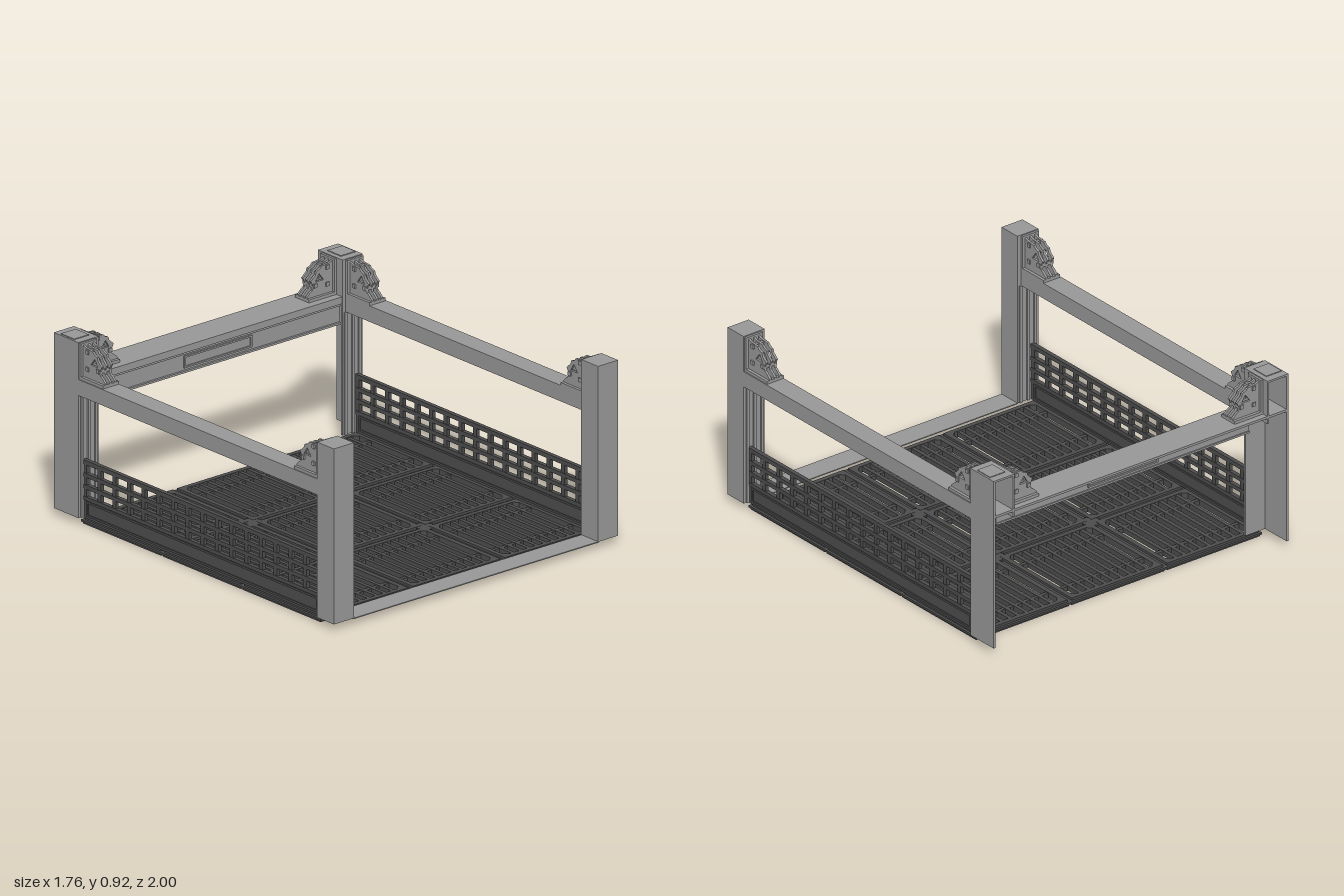
import * as THREE from 'three';

export function createModel() {
  const model = new THREE.Group();
  const grey = new THREE.MeshStandardMaterial({ name: 'frameGrey', color: 0x979797 });
  const dark = new THREE.MeshStandardMaterial({ name: 'gridDarkGrey', color: 0x4c4c4c });

  const group = (name, parent = model) => {
    const g = new THREE.Group();
    g.name = name;
    parent.add(g);
    return g;
  };
  // Box given by its lower and upper limits on each axis
  const box = (parent, name, mat, x0, x1, y0, y1, z0, z1) => {
    const m = new THREE.Mesh(new THREE.BoxGeometry(Math.abs(x1 - x0), y1 - y0, z1 - z0), mat);
    m.name = name;
    m.position.set((x0 + x1) / 2, (y0 + y1) / 2, (z0 + z1) / 2);
    parent.add(m);
    return m;
  };
  const points = list => list.map(([x, y]) => new THREE.Vector2(x, y));

  // Floor: nine slatted tiles
  const T = 0.57, O = 0.247, C = 0.225;
  const rimShape = half => {
    const s = new THREE.Shape(points([[-half, -half], [half, -half], [half, half], [-half, half]]));
    s.holes.push(new THREE.Path(points([
      [-C, -O], [-O, -C], [-O, C], [-C, O], [C, O], [O, C], [O, -C], [C, -O]])));
    return s;
  };
  const rimGeometry = (half, depth) =>
    new THREE.ExtrudeGeometry(rimShape(half), { depth, bevelEnabled: false }).rotateX(-Math.PI / 2);
  const rims = [
    [rimGeometry(0.278, 0.01), 0],
    [rimGeometry(0.285, 0.01), 0.01],
    [rimGeometry(0.272, 0.012), 0.02],
  ];
  for (let i = -1; i <= 1; i++) {
    for (let j = -1; j <= 1; j++) {
      const tile = group('floorTile');
      tile.position.set(i * T, 0, 0.02 + j * T);
      for (const [geo, y] of rims) {
        const m = new THREE.Mesh(geo, dark);
        m.name = 'tileRim';
        m.position.y = y;
        tile.add(m);
      }
      for (let k = 1; k < 10; k++) {
        const x = -O + k * 2 * O / 10;
        box(tile, 'tileSlat', dark, x - 0.01, x + 0.01, 0.006, 0.03, -O, O);
      }
      for (const z of [-0.15, 0.15])
        box(tile, 'tileCrossbar', dark, -O, O, 0.004, 0.028, z - 0.01, z + 0.01);
    }
  }
  // Diamond connectors where four tiles meet
  for (const x of [-T / 2, T / 2]) {
    for (const z of [0.02 - T / 2, 0.02 + T / 2]) {
      const m = new THREE.Mesh(new THREE.CylinderGeometry(0.05, 0.05, 0.03, 4), dark);
      m.name = 'tileConnector';
      m.position.set(x, 0.016, z);
      model.add(m);
    }
  }

  // Thin sill between the front posts
  box(model, 'frontSill', grey, -0.76, 0.76, 0.031, 0.036, 0.88, 1);

  // Bracket: cheeks with cut-outs, wall plate and foot, pointing along +x
  const cheek = new THREE.Shape(points([
    [0, 0], [0.17, 0], [0.17, 0.021], [0.15, 0.04], [0.135, 0.05], [0.13, 0.07], [0.145, 0.096],
    [0.117, 0.12], [0.112, 0.137], [0.09, 0.145], [0.08, 0.157], [0.03, 0.162], [0, 0.175]]));
  cheek.holes.push(new THREE.Path(points([[0.066, 0.087], [0.094, 0.124], [0.117, 0.087]])));
  const cheekGeo = new THREE.ExtrudeGeometry(cheek, { depth: 0.012, bevelEnabled: false });
  const bracket = (x, z, turn) => {
    const b = group('bracket');
    b.position.set(x, 0.73, z);
    b.rotation.y = turn;
    for (const dz of [-0.035, -0.006, 0.023]) {
      const m = new THREE.Mesh(cheekGeo, grey);
      m.name = 'bracketCheek';
      m.position.z = dz;
      b.add(m);
    }
    box(b, 'bracketFoot', grey, 0, 0.17, 0, 0.015, -0.05, 0.05);
    box(b, 'bracketWallPlate', grey, 0, 0.012, 0, 0.18, -0.05, 0.05);
    for (const [px, py] of [[0.045, 0.145], [0.12, 0.07], [0.045, 0.06]])
      box(b, 'bracketPin', grey, px - 0.01, px + 0.01, py - 0.01, py + 0.01, -0.042, 0.042);
  };

  for (const s of [-1, 1]) {
    const side = s > 0 ? 'left' : 'right';

    // Front post
    const front = group(side + 'FrontPost');
    box(front, 'post', grey, s * 0.755, s * 0.88, 0.035, 0.915, 0.88, 1);

    // Back post: open at the back, boxed in above the beam
    const back = group(side + 'BackPost');
    box(back, 'outerPlate', grey, s * 0.87, s * 0.88, 0.035, 0.915, -1, -0.825);
    box(back, 'frontPlate', grey, s * 0.755, s * 0.87, 0.035, 0.915, -0.837, -0.825);
    box(back, 'innerPlate', grey, s * 0.755, s * 0.765, 0.69, 0.915, -1, -0.837);
    box(back, 'capPlate', grey, s * 0.765, s * 0.87, 0.905, 0.915, -1, -0.837);
    box(back, 'capPad', grey, s * 0.78, s * 0.87, 0.915, 0.919, -0.96, -0.865);

    // Guide rails facing each other along the side
    for (const x of [0.765, 0.81, 0.85]) {
      box(front, 'guideRail', grey, s * x, s * (x + 0.015), 0.035, 0.65, 0.872, 0.88);
      box(back, 'guideRail', grey, s * x, s * (x + 0.015), 0.035, 0.65, -0.825, -0.817);
    }

    // Side beam
    box(model, side + 'Beam', grey, s * 0.775, s * 0.88, 0.65, 0.73, -0.825, 0.88);

    // Side panel: solid, framed lower band and open grid above
    const panel = group(side + 'SidePanel');
    const z0 = -0.823, z1 = 0.878;
    box(panel, 'lowerBand', dark, s * 0.836, s * 0.85, 0.032, 0.13, z0, z1);
    for (const y of [0.045, 0.112])
      box(panel, 'bandTrim', dark, s * 0.831, s * 0.855, y, y + 0.01, z0 + 0.025, z1 - 0.025);
    for (const z of [z0 + 0.025, z1 - 0.035])
      box(panel, 'bandTrim', dark, s * 0.831, s * 0.855, 0.045, 0.122, z, z + 0.01);
    for (const [y, h] of [[0.125, 0.018], [0.182, 0.02], [0.24, 0.02], [0.303, 0.022]])
      box(panel, 'gridRail', dark, s * 0.833, s * 0.855, y, y + h, z0, z1);
    for (let k = 0; k <= 16; k++) {
      const z = z0 + 0.0125 + k * (z1 - z0 - 0.025) / 16;
      box(panel, 'gridUpright', dark, s * 0.835, s * 0.853, 0.13, 0.325, z - 0.0125, z + 0.0125);
    }

    // Three brackets on each side
    bracket(s * 0.755, -0.918, s > 0 ? Math.PI : 0);
    bracket(s * 0.825, 0.88, Math.PI / 2);
    bracket(s * 0.825, -0.825, -Math.PI / 2);
  }

  // Back beam: top plate, front lip and hanging panel with a raised frame
  const beam = group('backBeam');
  box(beam, 'topPlate', grey, -0.87, 0.87, 0.718, 0.73, -1, -0.837);
  box(beam, 'frontLip', grey, -0.755, 0.755, 0.695, 0.73, -0.842, -0.827);
  box(beam, 'hangingPanel', grey, -0.755, 0.755, 0.59, 0.72, -0.862, -0.847);
  for (const y of [0.59, 0.683])
    box(beam, 'panelRib', grey, -0.755, 0.755, y, y + 0.01, -0.868, -0.835);
  for (const y of [0.612, 0.664])
    box(beam, 'nameplateFrame', grey, -0.21, 0.21, y, y + 0.008, -0.868, -0.839);
  for (const x of [-0.21, 0.202])
    box(beam, 'nameplateFrame', grey, x, x + 0.008, 0.612, 0.672, -0.868, -0.839);

  return model;
}
